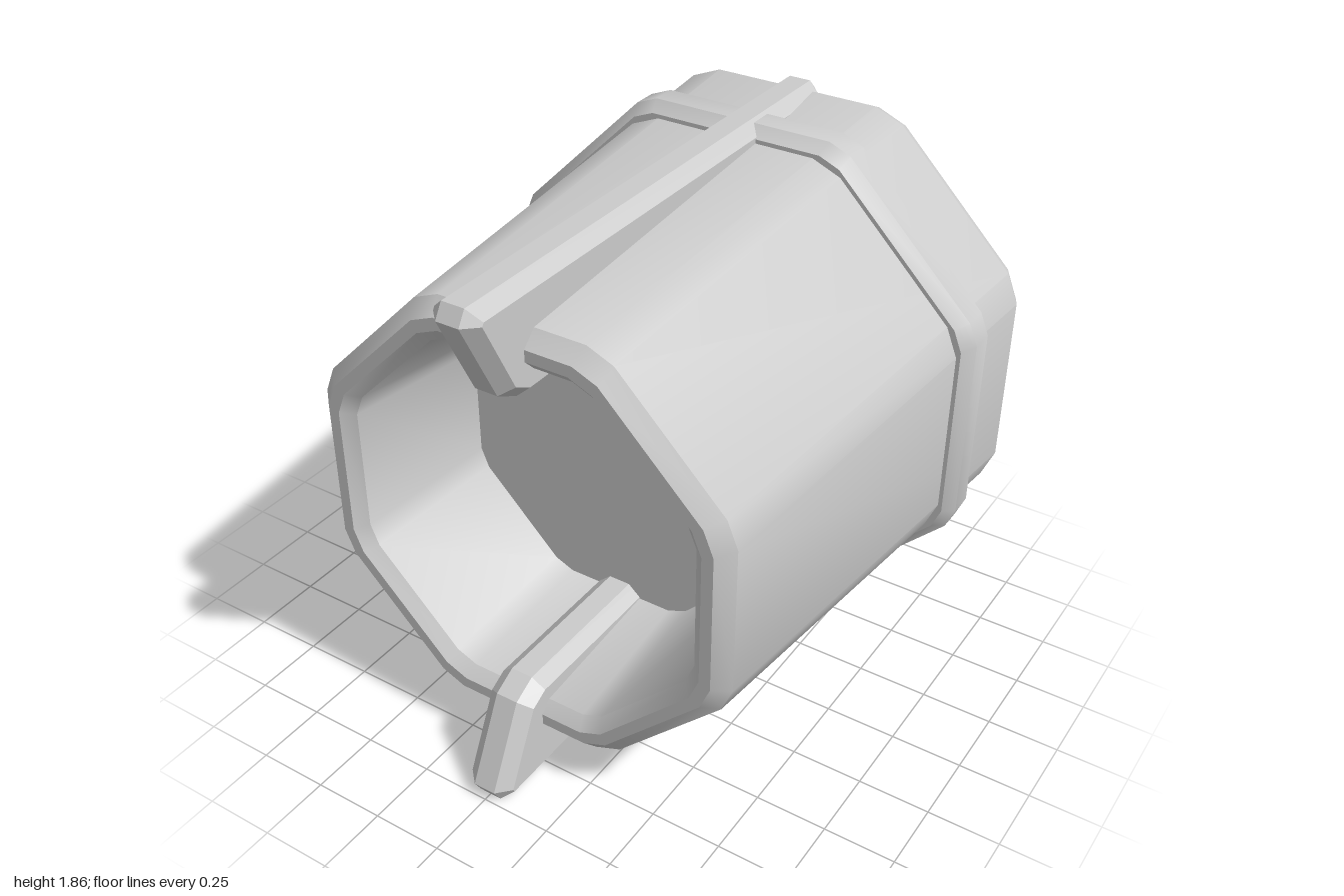
import * as THREE from 'three';
import { toCreasedNormals } from 'three/addons/utils/BufferGeometryUtils.js';

const MID = 0.93; // height of the cup's axis
const material = new THREE.MeshStandardMaterial({ color: 0xcccccc });

// Octagon of inner radius r with its eight corners cut off: 16 points, counter-clockwise.
function octagon(r, cut) {
  const half = Math.tan(Math.PI / 8) - cut;
  const points = [];
  for (let i = 0; i < 8; i++) {
    const a = (i * Math.PI) / 4;
    for (const t of [-half, half]) {
      points.push([r * (Math.cos(a) - t * Math.sin(a)), r * (Math.sin(a) + t * Math.cos(a))]);
    }
  }
  return points;
}

// Joins octagons along z; rings are [z, r], radius 0 closes the end.
function octagonalLoft(rings, cut) {
  const n = 16, positions = [], index = [];
  for (const [z, r] of rings) {
    for (const [x, y] of octagon(r, cut)) positions.push(x, y, z);
  }
  for (let i = 0; i < rings.length - 1; i++) {
    for (let j = 0; j < n; j++) {
      const k = (j + 1) % n;
      const a = i * n + j, b = i * n + k, c = b + n, d = a + n;
      if (rings[i][1] > 0) index.push(a, b, c);
      else index.push(a, c, d);
      if (rings[i][1] > 0 && rings[i + 1][1] > 0) index.push(a, c, d);
    }
  }
  const geometry = new THREE.BufferGeometry();
  geometry.setAttribute('position', new THREE.Float32BufferAttribute(positions, 3));
  geometry.setIndex(index);
  return toCreasedNormals(geometry, 0.6);
}

// Long bevelled rib: side profile in (z, y), extruded across x.
function ribGeometry() {
  const profile = [
    [-0.96, 0], [0.97, 0], [1, 0.05], [0.855, 0.34],
    [0.77, 0.385], [-0.95, 0.385], [-1, 0.34], [-1, 0.04],
  ];
  const shape = new THREE.Shape(profile.map(([z, y]) => new THREE.Vector2(z, y)));
  const geometry = new THREE.ExtrudeGeometry(shape, {
    depth: 0.08, bevelThickness: 0.045, bevelSize: 0.04, bevelOffset: -0.04, bevelSegments: 1,
  });
  return geometry.translate(0, 0, -0.04).rotateY(-Math.PI / 2);
}

export function createModel() {
  const model = new THREE.Group();
  const add = (name, geometry, y) => {
    const mesh = new THREE.Mesh(geometry, material);
    mesh.name = name;
    mesh.position.y = y;
    model.add(mesh);
    return mesh;
  };

  // Tapered cup: back face, outer wall, rounded rim, inner wall, inner floor
  add('cup', octagonalLoft([
    [-0.975, 0], [-0.975, 0.885], [-0.93, 0.905], [0.73, 0.77], [0.78, 0.72],
    [0.78, 0.68], [0.74, 0.64], [0.2, 0.59], [0.2, 0],
  ], 0.07), MID);

  // Raised band near the back
  add('band', octagonalLoft([
    [-0.685, 0.8], [-0.685, 0.885], [-0.64, 0.92],
    [-0.55, 0.92], [-0.505, 0.885], [-0.505, 0.8],
  ], 0.05), MID);

  // Ribs through the wall, one below and one turned over above
  const rib = ribGeometry();
  add('lowerRib', rib, 0);
  add('upperRib', rib, 2 * MID).rotation.z = Math.PI;

  return model;
}
